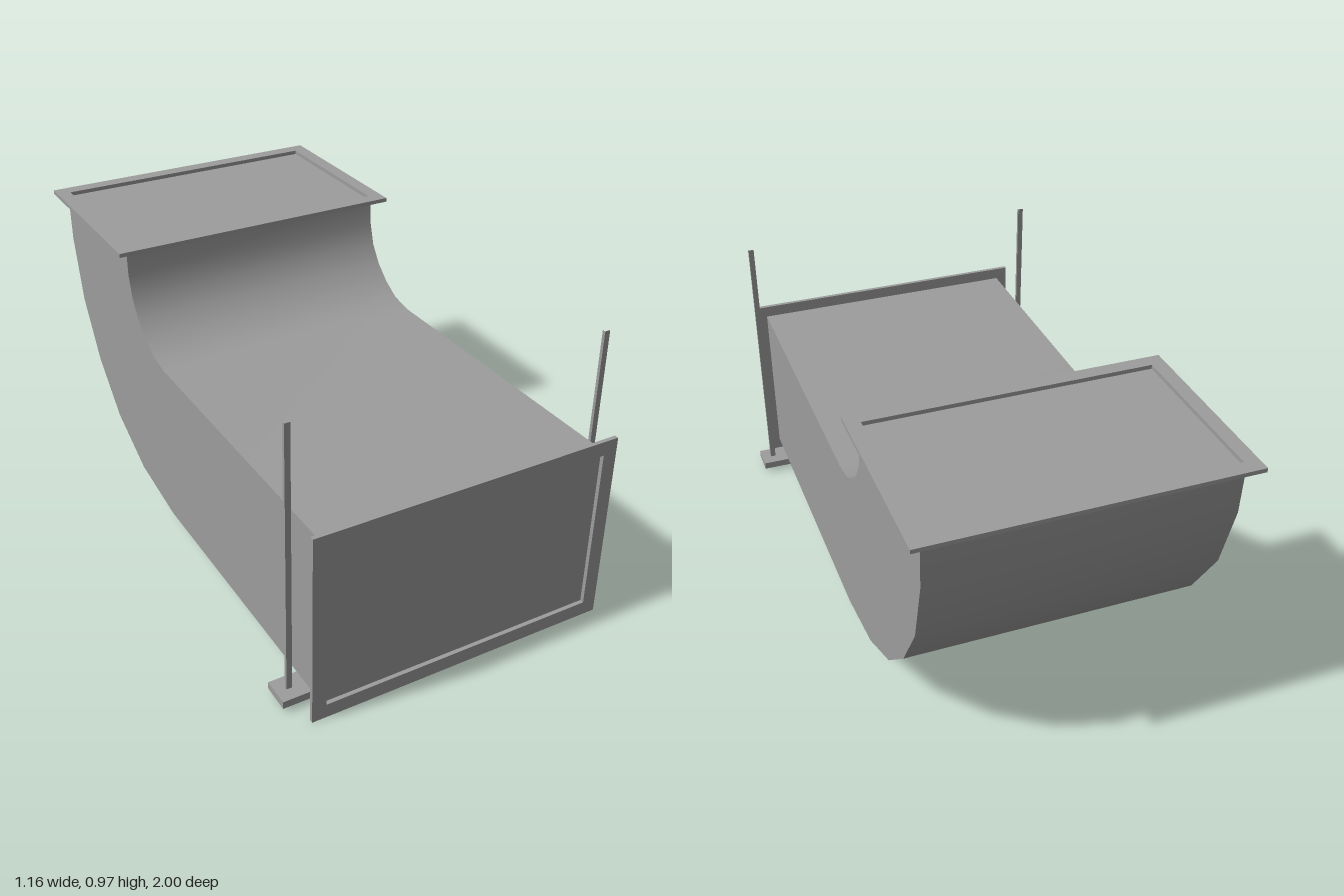
import * as THREE from 'three';
import { toCreasedNormals } from 'three/addons/utils/BufferGeometryUtils.js';

const material = new THREE.MeshStandardMaterial({ color: 0x9d9d9d });

function addPart(parent, geometry, name, x = 0, y = 0, z = 0) {
  const mesh = new THREE.Mesh(geometry, material);
  mesh.name = name;
  mesh.position.set(x, y, z);
  parent.add(mesh);
  return mesh;
}

// Rectangular frame with an opening, centred in its plane, extruded along +z
function flangeGeometry(width, height, openWidth, openHeight, depth) {
  const rect = (target, w, h) => target
    .moveTo(-w / 2, -h / 2).lineTo(w / 2, -h / 2)
    .lineTo(w / 2, h / 2).lineTo(-w / 2, h / 2).closePath();
  const shape = rect(new THREE.Shape(), width, height);
  shape.holes.push(rect(new THREE.Path(), openWidth, openHeight));
  return new THREE.ExtrudeGeometry(shape, { depth, bevelEnabled: false });
}

export function createModel() {
  const model = new THREE.Group();
  model.name = 'ductElbow';

  // Duct side outline as (-z, y): outer sweep, then inner sweep back
  const outer = [[-0.986, 0.043], [0.1, 0.043], [0.367, 0.086], [0.588, 0.195],
    [0.758, 0.357], [0.885, 0.56], [0.949, 0.79], [0.957, 0.958]];
  const inner = [[0.378, 0.958], [0.374, 0.868], [0.351, 0.79], [0.308, 0.727],
    [0.25, 0.677], [0.184, 0.64], [0.1, 0.625], [-0.986, 0.625]];
  const outline = new THREE.Shape([...outer, ...inner].map(([a, b]) => new THREE.Vector2(a, b)));
  const width = 0.97;
  const duct = new THREE.ExtrudeGeometry(outline, { depth: width, bevelEnabled: false });
  duct.translate(0, 0, -width / 2).rotateY(Math.PI / 2);
  addPart(model, toCreasedNormals(duct, 0.6), 'duct');

  // Flanges on the front and top openings
  const flange = flangeGeometry(1.052, 0.666, 0.956, 0.568, 0.014);
  addPart(model, flange, 'frontFlange', 0, 0.333, 0.986);
  addPart(model, flange, 'topFlange', 0, 0.958, -0.667).rotation.x = -Math.PI / 2;

  // Hanger: a bar under the duct carried by two flat, open-ended rods
  const hanger = new THREE.Group();
  hanger.name = 'hanger';
  model.add(hanger);
  addPart(hanger, new THREE.BoxGeometry(1.164, 0.026, 0.096), 'supportBar', 0, 0.03, 0.877);
  const tube = new THREE.CylinderGeometry(Math.SQRT1_2, Math.SQRT1_2, 0.93, 4, 1, true);
  const rod = toCreasedNormals(tube.rotateY(Math.PI / 4).scale(0.019, 1, 0.011), 0.6);
  for (const [side, name] of [[1, 'leftRod'], [-1, 'rightRod']]) {
    addPart(hanger, rod, name, side * 0.5385, 0.507, 0.877);
  }
  return model;
}
